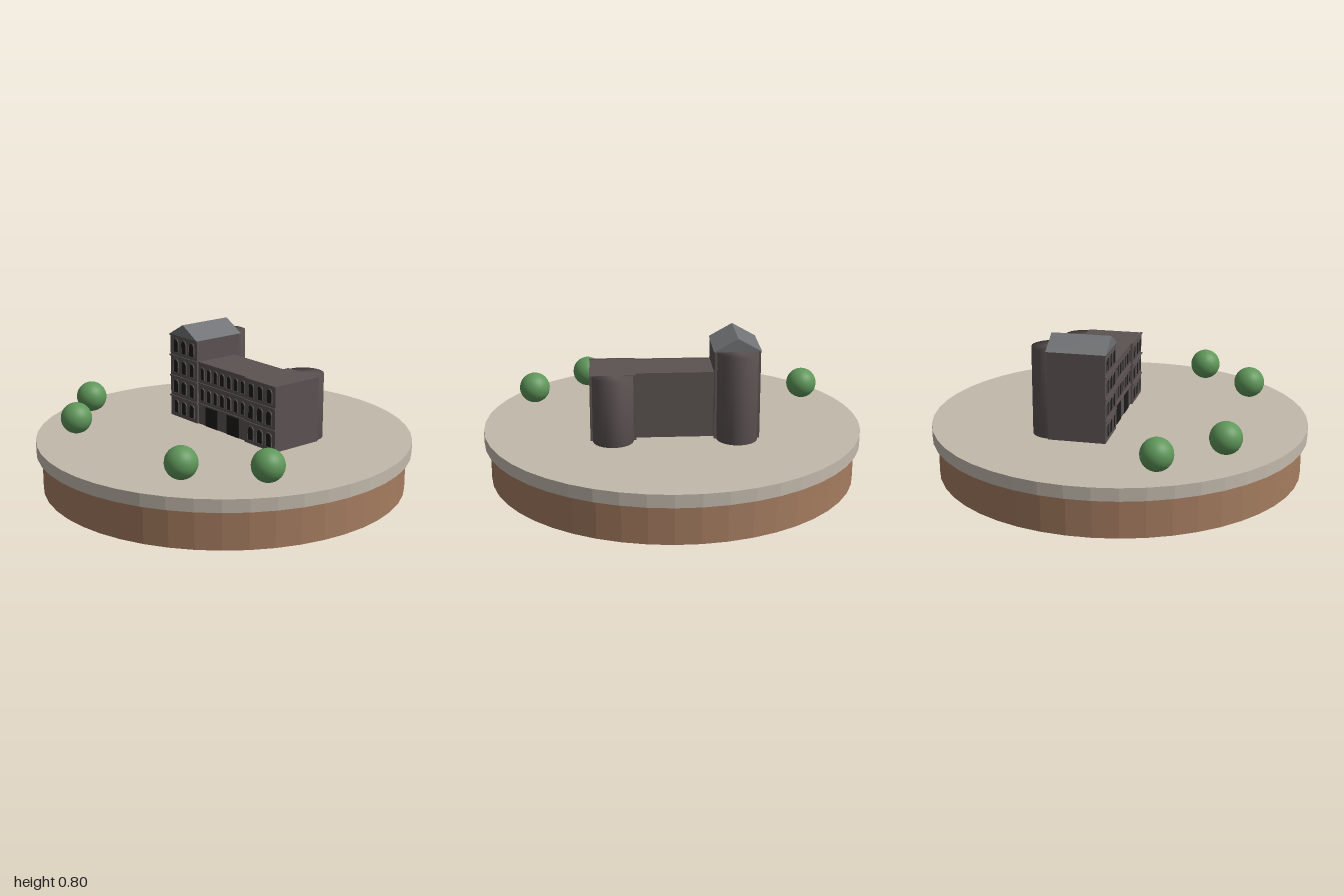
import * as THREE from 'three';
import { mergeVertices } from 'three/addons/utils/BufferGeometryUtils.js';

const mat = (name, color, flat = false) => {
  const m = new THREE.MeshStandardMaterial({ color, flatShading: flat });
  m.name = name;
  return m;
};

export function createModel() {
  const stone = mat('paleStone', 0xc2b9ac, true);
  const earth = mat('brownEarth', 0xa57c60, true);
  const wall = mat('darkWall', 0x5c5352);
  const roofing = mat('greyRoof', 0x707275, true);
  const glass = mat('blackOpening', 0x1b1b1c);
  const leaf = mat('greenLeaf', 0x5f975a);

  const root = new THREE.Group();
  root.name = 'model';
  const add = (parent, name, geo, material, x = 0, y = 0, z = 0) => {
    const m = new THREE.Mesh(geo, material);
    m.name = name;
    m.position.set(x, y, z);
    parent.add(m);
    return m;
  };

  // Round plinth
  add(root, 'plinthBase', new THREE.CylinderGeometry(0.97, 0.97, 0.2, 48), earth, 0, 0.1, 0);
  add(root, 'plinthTop', new THREE.CylinderGeometry(1, 1, 0.067, 48), stone, 0, 0.2335, 0);

  // Ball trees
  const ball = new THREE.SphereGeometry(0.083, 28, 18);
  for (const [x, z] of [[-0.825, 0.07], [-0.65, 0.44], [0.21, 0.755], [0.585, 0.58]])
    add(root, 'tree', ball, leaf, x, 0.36, z);

  // Building, turned on the plinth
  const ground = 0.267, floor = 0.116, wingX = 0.318, wingW = 0.235;
  const wingFront = 0.024, wingBack = -0.276, midFront = 0.013, midBack = -0.24;
  const house = new THREE.Group();
  house.name = 'building';
  house.rotation.y = -THREE.MathUtils.degToRad(20);
  root.add(house);

  const block = (name, x, w, floors, front, back) =>
    add(house, name, new THREE.BoxGeometry(w, floors * floor, front - back), wall,
      x, ground + floors * floor / 2, (front + back) / 2);
  block('tower', -wingX, wingW, 4, wingFront, wingBack);
  block('rightWing', wingX, wingW, 3, wingFront, wingBack);
  block('middleRange', 0, 0.404, 3, midFront, midBack);

  // Round stair towers on the back walls, softly shaded over the rim
  const stair = (x, floors) => {
    const h = floors * floor - 0.001;
    let g = new THREE.CylinderGeometry(0.105, 0.105, h, 32);
    g.deleteAttribute('normal');
    g.deleteAttribute('uv');
    g = mergeVertices(g, 1e-4);
    g.computeVertexNormals();
    add(house, 'stairTower', g, wall, x, ground + h / 2, wingBack - 0.004);
  };
  stair(-wingX, 4);
  stair(wingX, 3);

  // Gabled tower roof with its ridge running front to back
  const eave = wingW / 2 + 0.005, roofLen = wingFront - wingBack + 0.01;
  const gable = new THREE.Shape([
    new THREE.Vector2(-eave, 0), new THREE.Vector2(eave, 0), new THREE.Vector2(0, 0.069)]);
  add(house, 'towerRoof', new THREE.ExtrudeGeometry(gable, { depth: roofLen, bevelEnabled: false }),
    roofing, -wingX, ground + 4 * floor, wingBack - 0.005);

  // Round-headed outline standing on y = 0
  const arch = (Kind, w, h) => {
    const r = w / 2, p = new Kind();
    p.moveTo(-r, 0);
    p.lineTo(r, 0);
    p.lineTo(r, h - r);
    p.absarc(0, h - r, r, 0, Math.PI, false);
    p.lineTo(-r, 0);
    return p;
  };
  const makeWindow = (w, h) => {
    const rim = arch(THREE.Shape, w + 0.012, h + 0.006);
    rim.holes.push(arch(THREE.Path, w, h));
    return {
      pane: new THREE.ShapeGeometry(arch(THREE.Shape, w, h), 8),
      rim: new THREE.ExtrudeGeometry(rim, { depth: 0.004, bevelEnabled: false, curveSegments: 8 }),
    };
  };
  const wide = makeWindow(0.038, 0.072), narrow = makeWindow(0.03, 0.066);
  const putWindow = (win, x, level, z) => {
    const y = ground + level * floor + 0.021;
    add(house, 'windowPane', win.pane, glass, x, y, z + 0.0015);
    add(house, 'windowSurround', win.rim, wall, x, y, z);
  };
  const ledge = (x, w, level, z) =>
    add(house, 'ledge', new THREE.BoxGeometry(w, 0.008, 0.012), wall, x, ground + level * floor - 0.002, z);

  // Tower and wing fronts: three windows on each floor
  for (const [cx, floors] of [[-wingX, 4], [wingX, 3]])
    for (let f = 0; f < floors; f++) {
      for (let i = -1; i <= 1; i++) putWindow(wide, cx + i * 0.07, f, wingFront);
      ledge(cx, wingW + 0.004, f + 1, wingFront);
    }

  // Middle front: two upper rows of seven windows
  for (let f = 1; f < 3; f++) {
    for (let i = -3; i <= 3; i++) putWindow(narrow, i * 0.056, f, midFront);
    ledge(0, 0.4, f, midFront);
  }
  ledge(0, 0.4, 3, midFront - 0.003);

  // Large gateways at ground level
  for (const x of [-0.09, 0.09])
    add(house, 'gateway', new THREE.BoxGeometry(0.1, 0.108, 0.004), glass, x, ground + 0.054, midFront + 0.001);

  return root;
}
